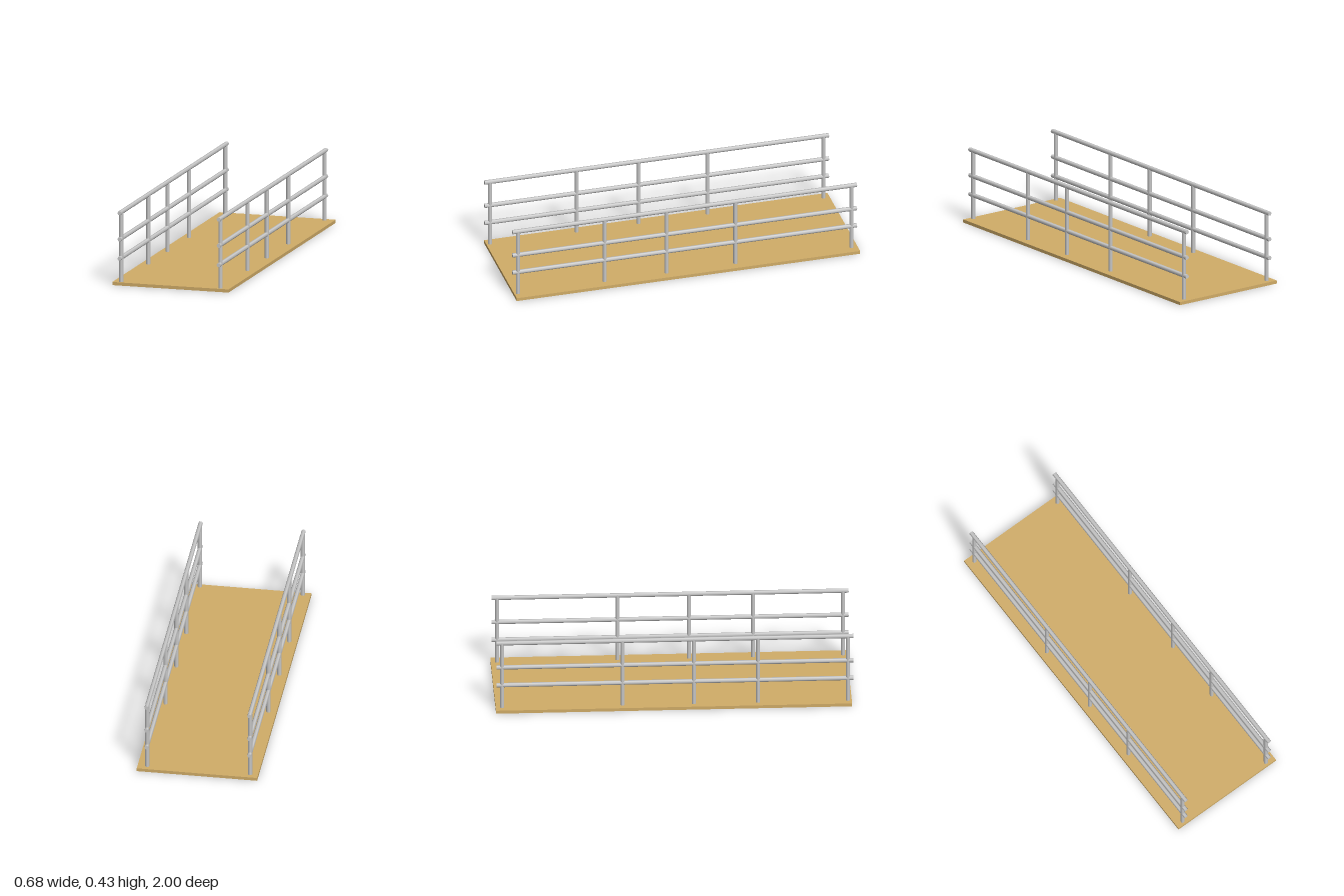
import * as THREE from 'three';

export function createModel() {
  const model = new THREE.Group();
  const wood = new THREE.MeshStandardMaterial({ color: 0xd1ad68 });
  const metal = new THREE.MeshStandardMaterial({ color: 0xcccccc });

  // Flat walkway board
  const deckTop = 0.018, deckBack = -1, deckFront = 0.99;
  const deck = new THREE.Mesh(new THREE.BoxGeometry(0.68, deckTop, deckFront - deckBack), wood);
  deck.name = 'deck';
  deck.position.set(0, deckTop / 2, (deckFront + deckBack) / 2);
  model.add(deck);

  // Hexagonal tube with corners pointing along x
  const tube = (length) =>
    new THREE.CylinderGeometry(0.0124, 0.0124, length, 6, 1, false, Math.PI / 2);

  const postTop = 0.418, railBack = -0.995, railFront = 1;
  const postGeometry = tube(postTop - deckTop);
  const railGeometry = tube(railFront - railBack).rotateX(Math.PI / 2);

  // One railing: upright posts and three long rails
  function addRailing(name, x) {
    const railing = new THREE.Group();
    railing.name = name;
    railing.position.x = x;
    for (const z of [0.968, 0.466, 0.107, -0.292, -0.965]) {
      const post = new THREE.Mesh(postGeometry, metal);
      post.name = 'post';
      post.position.set(0, (postTop + deckTop) / 2, z);
      railing.add(post);
    }
    for (const [railName, y] of [['handrail', 0.4145], ['middleRail', 0.265], ['lowerRail', 0.155]]) {
      const rail = new THREE.Mesh(railGeometry, metal);
      rail.name = railName;
      rail.position.set(0, y, (railFront + railBack) / 2);
      railing.add(rail);
    }
    model.add(railing);
  }
  addRailing('leftRailing', 0.286);
  addRailing('rightRailing', -0.295);

  return model;
}
